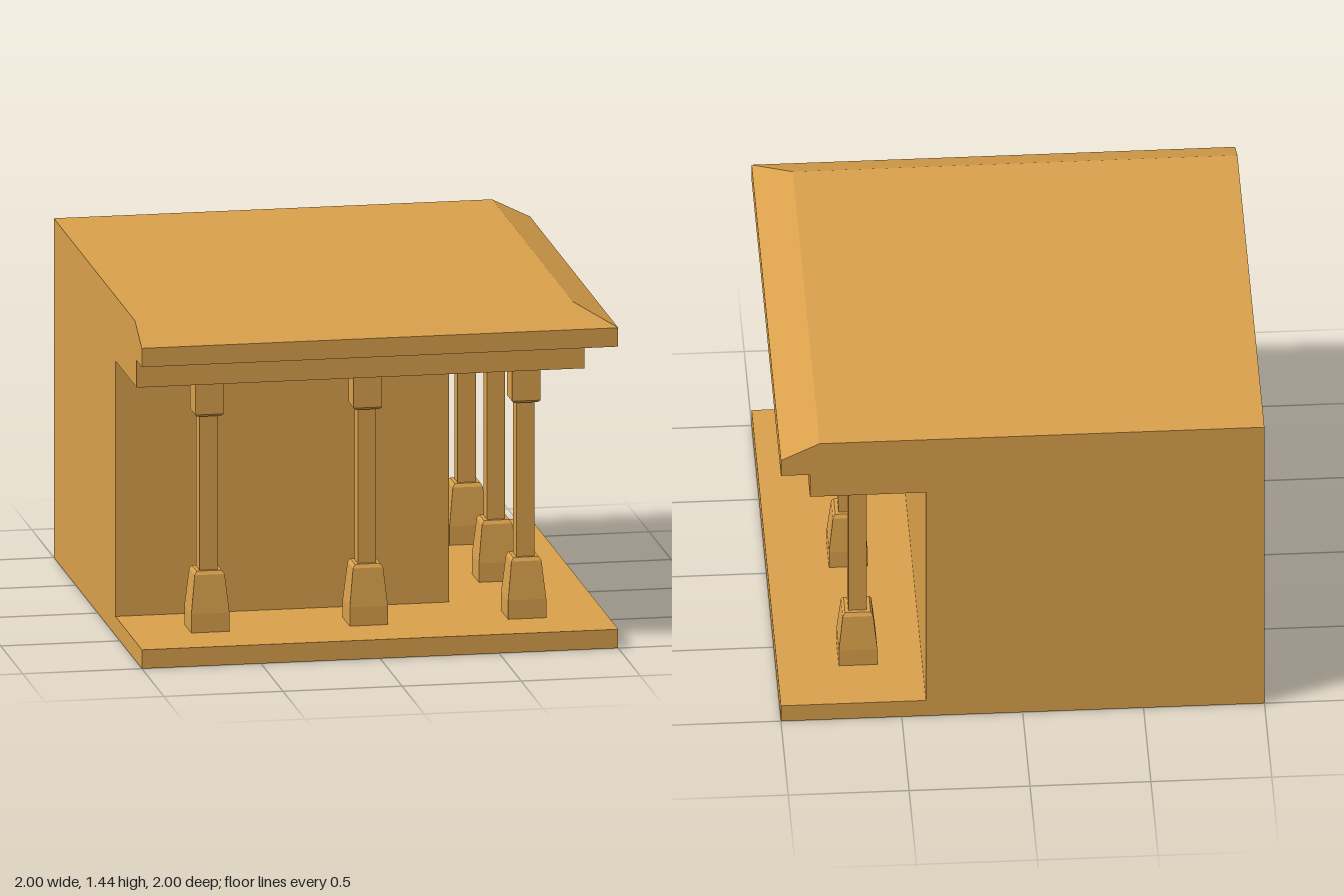
import * as THREE from 'three';

const material = new THREE.MeshStandardMaterial({ color: 0xd9a04b, flatShading: true });

// Block whose back-left corner sits at (-1, -1) and reaches `reach` on x and z
function cornerBlock(name, reach, y0, y1, topReach = reach) {
  const size = reach + 1;
  const geo = new THREE.BoxGeometry(size, y1 - y0, size);
  geo.translate(size / 2 - 1, (y0 + y1) / 2, size / 2 - 1);
  // Pull the top edges in on the two open sides
  const p = geo.attributes.position;
  for (let i = 0; i < p.count; i++) {
    if (p.getY(i) < (y0 + y1) / 2) continue;
    if (p.getX(i) > 0) p.setX(i, topReach);
    if (p.getZ(i) > 0) p.setZ(i, topReach);
  }
  geo.computeVertexNormals();
  const mesh = new THREE.Mesh(geo, material);
  mesh.name = name;
  return mesh;
}

// Square column part from [half width, height] pairs
function squareTurned(name, profile) {
  const points = profile.map(([w, y]) => new THREE.Vector2(w * Math.SQRT2, y));
  const geo = new THREE.LatheGeometry(points, 4).rotateY(Math.PI / 4).toNonIndexed();
  geo.computeVertexNormals();
  const mesh = new THREE.Mesh(geo, material);
  mesh.name = name;
  return mesh;
}

function column(x, z) {
  const group = new THREE.Group();
  group.name = 'column';
  group.add(
    squareTurned('columnBase', [[0.08, 0.08], [0.08, 0.16], [0.063, 0.32], [0.053, 0.335], [0.038, 0.335]]),
    squareTurned('columnShaft', [[0.038, 0.335], [0.038, 0.99]]),
    squareTurned('columnCapital', [[0.038, 0.99], [0.05, 0.99], [0.06, 1.0], [0.06, 1.165]])
  );
  group.position.set(x, 0, z);
  return group;
}

export function createModel() {
  const model = new THREE.Group();
  model.name = 'cornerColonnade';
  model.add(
    cornerBlock('floorSlab', 1, 0, 0.08),
    cornerBlock('wallCore', 0.4, 0.08, 1.165),
    cornerBlock('beam', 0.88, 1.165, 1.28),
    cornerBlock('roofSlab', 1, 1.28, 1.36),
    cornerBlock('roofBevel', 1, 1.36, 1.44, 0.84)
  );

  // Columns along the front and the left side, sharing the corner one
  const d = 0.665;
  for (const t of [-d, 0, d]) model.add(column(t, d));
  for (const t of [-d, 0]) model.add(column(d, t));
  return model;
}
